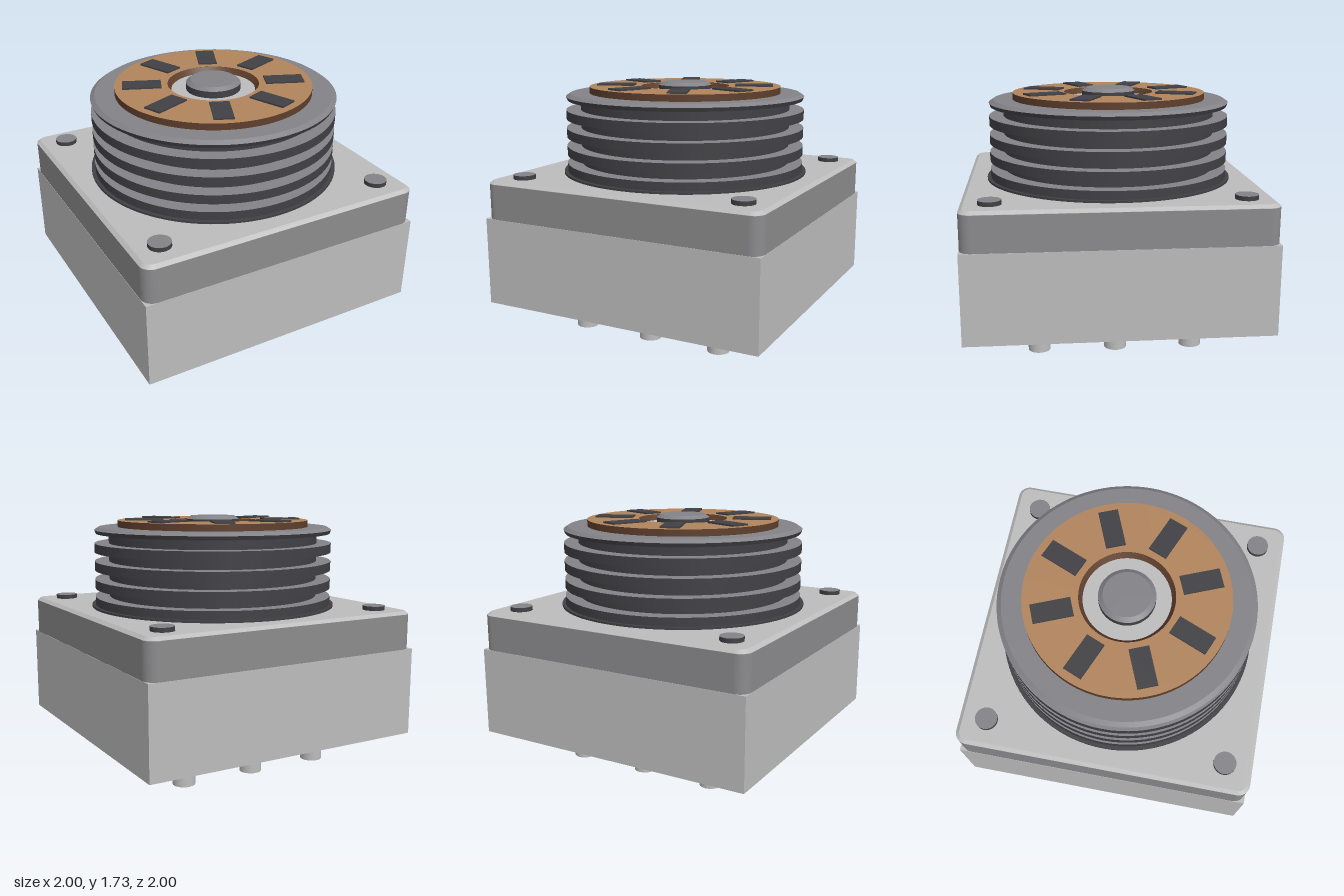
import * as THREE from 'three';

const mat = (name, color) => new THREE.MeshStandardMaterial({ name, color });

export function createModel() {
  const light = mat('light casing', 0xbcbcbc);
  const steel = mat('plate steel', 0x8b8b8d);
  const grey = mat('machined grey', 0x828287);
  const dark = mat('dark metal', 0x414145);
  const copper = mat('copper', 0xb0845c);
  const brown = mat('copper edge', 0x5e3f2d);

  const model = new THREE.Group();
  model.name = 'motorModule';
  const add = (name, geo, material, x = 0, y = 0, z = 0) => {
    const m = new THREE.Mesh(geo, material);
    m.name = name;
    m.position.set(x, y, z);
    model.add(m);
    return m;
  };
  // Cylinder between two heights; materials may be [side, top, bottom]
  const disc = (name, rTop, rBottom, y0, y1, material, x = 0, z = 0, open = false) =>
    add(name, new THREE.CylinderGeometry(rTop, rBottom, y1 - y0, rBottom > 0.3 ? 96 : 40, 1, open),
      material, x, (y0 + y1) / 2, z);
  // Extrude a floor-plan shape upwards
  const extrudeUp = (shape, options) =>
    new THREE.ExtrudeGeometry(shape, { bevelEnabled: false, curveSegments: 10, ...options }).rotateX(-Math.PI / 2);
  const roundedSquare = (h, r) => {
    const s = new THREE.Shape();
    [[1, -1, -0.5], [1, 1, 0], [-1, 1, 0.5], [-1, -1, 1]].forEach(([sx, sy, a]) =>
      s.absarc(sx * (h - r), sy * (h - r), r, a * Math.PI, (a + 0.5) * Math.PI, false));
    return s;
  };

  // Casing and contact pins
  add('casing', new THREE.BoxGeometry(2, 0.6, 2), light, 0, 0.54, 0);
  for (const x of [-0.52, 0, 0.52])
    for (const z of [-0.52, 0, 0.52]) disc('pin', 0.075, 0.075, 0, 0.25, light, x, z);

  // Cover plate: darker walls with a bevelled light top
  add('coverPlateWall', extrudeUp(roundedSquare(0.998, 0.08), { depth: 0.24, curveSegments: 10 }), steel, 0, 0.84, 0);
  add('coverPlateTop', extrudeUp(roundedSquare(0.973, 0.055), {
    depth: 0.002, bevelEnabled: true, bevelSize: 0.025, bevelThickness: 0.02, bevelSegments: 1,
  }), light, 0, 1.079, 0);

  // Corner screws
  for (const x of [-0.81, 0.81])
    for (const z of [-0.81, 0.81]) disc('screw', 0.075, 0.075, 1.1, 1.13, [dark, grey, dark], x, z);

  // Finned drum
  disc('drumSeat', 0.86, 0.86, 1.095, 1.115, dark);
  disc('drumCore', 0.735, 0.735, 1.1, 1.64, dark);
  for (const y of [1.11, 1.23, 1.355, 1.48])
    disc('coolingFin', 0.835, 0.835, y, y + 0.063, [dark, grey, dark]);
  disc('drumRim', 0.835, 0.825, 1.61, 1.635, dark);
  disc('drumRimTop', 0.805, 0.835, 1.635, 1.655, [grey, grey, dark]);

  // Copper ring with a chamfered bore
  const ring = new THREE.Shape().absarc(0, 0, 0.67, 0, Math.PI * 2, false);
  ring.holes.push(new THREE.Path().absarc(0, 0, 0.31, 0, Math.PI * 2, true));
  add('copperRing', extrudeUp(ring, { depth: 0.047, curveSegments: 64 }), [copper, brown], 0, 1.653, 0);
  add('boreChamfer', new THREE.LatheGeometry(
    [new THREE.Vector2(0.283, 1.66), new THREE.Vector2(0.311, 1.7)], 64),
  Object.assign(brown, { side: THREE.DoubleSide }));

  // Contact pads around the ring
  for (let i = 0; i < 8; i++) {
    const a = (i + 0.5) * Math.PI / 4;
    const pad = add('contactPad', new THREE.BoxGeometry(0.262, 0.02, 0.13), dark,
      0.485 * Math.cos(a), 1.701, -0.485 * Math.sin(a));
    pad.rotation.y = a;
  }

  // Bearing and shaft hub
  disc('bearing', 0.3, 0.3, 1.64, 1.662, light);
  disc('shaft', 0.185, 0.185, 1.65, 1.708, dark);
  disc('shaftCap', 0.155, 0.185, 1.708, 1.73, grey);

  return model;
}
